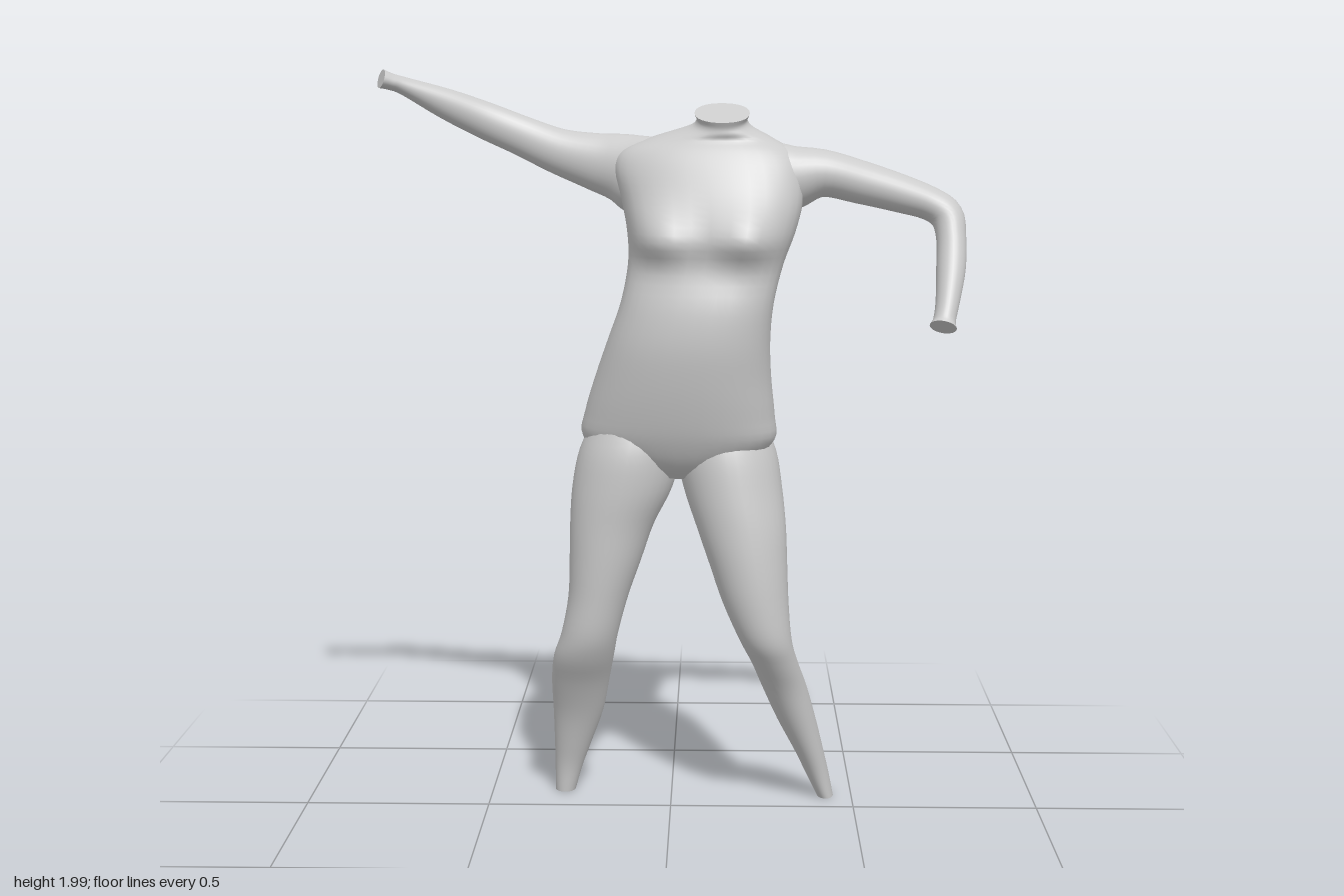
import * as THREE from 'three';

const SIDES = 32;
const UP = new THREE.Vector3(0, 1, 0);
const FRONT = new THREE.Vector3(0, 0, 1);
const material = new THREE.MeshStandardMaterial({ color: 0xcccccc });

// Smooth skin through sections { c: centre, r: (width, depth, tilt) } with flat end caps.
// Sections stay level when `level` is set, otherwise they follow the path.
function loft(name, sections, { level = false, steps = 4, power = 2, shape = null } = {}) {
  const path = new THREE.CatmullRomCurve3(sections.map((s) => s.c));
  const radii = new THREE.CatmullRomCurve3(sections.map((s) => s.r));
  path.curveType = radii.curveType = 'catmullrom';
  const rings = (sections.length - 1) * steps;
  const pos = [], index = [];
  const round = (v) => Math.sign(v) * Math.abs(v) ** (2 / power);
  for (let i = 0; i <= rings; i++) {
    const c = path.getPoint(i / rings), r = radii.getPoint(i / rings);
    const t = level ? UP : path.getTangent(i / rings);
    const u = new THREE.Vector3().crossVectors(FRONT, t).normalize();
    const v = new THREE.Vector3().crossVectors(t, u);
    for (let j = 0; j < SIDES; j++) {
      const a = (j / SIDES) * Math.PI * 2;
      const p = c.clone()
        .addScaledVector(u, round(Math.cos(a)) * r.x)
        .addScaledVector(v, round(Math.sin(a)) * r.y);
      p.y -= r.z * (p.z - c.z);
      if (shape) shape(p, c);
      pos.push(...p.toArray());
    }
  }
  for (let i = 0; i < rings; i++) {
    for (let j = 0; j < SIDES; j++) {
      const k = (j + 1) % SIDES, a = i * SIDES, b = a + SIDES;
      index.push(a + j, a + k, b + j, a + k, b + k, b + j);
    }
  }
  // End caps with their own vertices, so their rims stay sharp
  for (const end of [0, rings]) {
    const start = pos.length / 3, mid = [0, 0, 0];
    for (let j = 0; j < SIDES; j++) {
      for (let k = 0; k < 3; k++) {
        const value = pos[(end * SIDES + j) * 3 + k];
        pos.push(value);
        mid[k] += value / SIDES;
      }
    }
    pos.push(...mid);
    for (let j = 0; j < SIDES; j++) {
      const a = start + j, b = start + ((j + 1) % SIDES);
      index.push(start + SIDES, ...(end ? [a, b] : [b, a]));
    }
  }
  const geometry = new THREE.BufferGeometry();
  geometry.setAttribute('position', new THREE.Float32BufferAttribute(pos, 3));
  geometry.setIndex(index);
  geometry.computeVertexNormals();
  const mesh = new THREE.Mesh(geometry, material);
  mesh.name = name;
  return mesh;
}

// Level section from its extents: height, min x, max x, back z, front z, tilt
const slab = ([y, x0, x1, z0, z1, tilt = 0]) => ({
  c: new THREE.Vector3((x0 + x1) / 2, y, (z0 + z1) / 2),
  r: new THREE.Vector3((x1 - x0) / 2, (z1 - z0) / 2, tilt),
});

// Limb section: centre, half width seen from the front, half depth
const limb = ([x, y, z, w, d]) => ({
  c: new THREE.Vector3(x, y, z),
  r: new THREE.Vector3(w, d, 0),
});

// Soft swellings of the trunk: x, y, height, radius, side (1 front, -1 back)
const swellings = [
  [-0.03, 1.565, 0.06, 0.085, 1], [0.19, 1.565, 0.06, 0.085, 1],
  [-0.1, 1.07, 0.03, 0.1, -1], [0.14, 1.07, 0.03, 0.1, -1],
];

function shapeTrunk(p, c) {
  // Twist that brings the left side forward
  const facing = p.z - c.z;
  p.z += 0.13 * (p.x - c.x);
  for (const [x, y, h, r, side] of swellings) {
    const amount = THREE.MathUtils.smoothstep(facing * side, 0, 0.1);
    const drop = p.y < y ? 1.5 : 1;
    const d2 = (p.x - x) ** 2 + ((p.y - y) * drop) ** 2;
    p.z += side * h * amount * Math.exp(-d2 / (r * r));
  }
}

export function createModel() {
  const group = new THREE.Group();
  group.name = 'headlessFigure';

  // Trunk from crotch to the cut neck
  group.add(loft('torso', [
    [0.93, -0.05, 0.09, -0.08, 0.05],
    [0.97, -0.16, 0.2, -0.14, 0.1],
    [1.03, -0.237, 0.276, -0.175, 0.135],
    [1.1, -0.23, 0.276, -0.185, 0.16],
    [1.2, -0.2, 0.266, -0.175, 0.185],
    [1.3, -0.165, 0.262, -0.135, 0.2],
    [1.4, -0.13, 0.27, -0.1, 0.195],
    [1.5, -0.112, 0.295, -0.115, 0.165],
    [1.58, -0.115, 0.325, -0.135, 0.155],
    [1.66, -0.13, 0.345, -0.15, 0.135],
    [1.74, -0.15, 0.345, -0.155, 0.1],
    [1.79, -0.13, 0.32, -0.145, 0.07],
    [1.825, -0.05, 0.265, -0.12, 0.05, 0.1],
    [1.85, 0.045, 0.215, -0.085, 0.055, 0.25],
    [1.87, 0.067, 0.2, -0.075, 0.055, 0.35],
    [1.888, 0.062, 0.206, -0.08, 0.062, 0.35],
  ].map(slab), { level: true, power: 2.2, shape: shapeTrunk }));

  // Right leg, ankle to hip
  group.add(loft('rightLeg', [
    [0.01, -0.326, -0.27, -0.18, -0.11],
    [0.08, -0.326, -0.25, -0.178, -0.1],
    [0.15, -0.326, -0.225, -0.174, -0.08],
    [0.25, -0.327, -0.19, -0.165, -0.045],
    [0.35, -0.328, -0.17, -0.142, 0.005],
    [0.43, -0.318, -0.155, -0.105, 0.055],
    [0.5, -0.295, -0.142, -0.08, 0.082],
    [0.6, -0.276, -0.115, -0.088, 0.095],
    [0.7, -0.272, -0.08, -0.1, 0.105],
    [0.8, -0.27, -0.045, -0.115, 0.112],
    [0.9, -0.264, 0.005, -0.15, 0.12],
    [1.0, -0.244, 0.025, -0.182, 0.118],
    [1.09, -0.2, 0.015, -0.17, 0.09],
  ].map(slab), { level: true }));

  // Left leg, ankle to hip
  group.add(loft('leftLeg', [
    [0.01, 0.405, 0.45, -0.145, -0.068],
    [0.08, 0.372, 0.436, -0.142, -0.048],
    [0.15, 0.34, 0.42, -0.132, -0.022],
    [0.25, 0.29, 0.396, -0.115, 0.018],
    [0.35, 0.248, 0.369, -0.085, 0.06],
    [0.43, 0.218, 0.343, -0.035, 0.108],
    [0.5, 0.185, 0.325, -0.005, 0.145],
    [0.6, 0.14, 0.316, -0.03, 0.158],
    [0.7, 0.105, 0.312, -0.055, 0.16],
    [0.8, 0.07, 0.308, -0.08, 0.155],
    [0.9, 0.035, 0.298, -0.135, 0.145],
    [1.0, 0.015, 0.281, -0.17, 0.13],
    [1.09, 0.03, 0.24, -0.15, 0.1],
  ].map(slab), { level: true }));

  // Right arm, raised and stretched out to the side
  group.add(loft('rightArm', [
    [0.02, 1.7, -0.06, 0.1, 0.07],
    [-0.06, 1.718, -0.08, 0.11, 0.085],
    [-0.13, 1.742, -0.105, 0.092, 0.072],
    [-0.2, 1.758, -0.118, 0.077, 0.06],
    [-0.3, 1.785, -0.13, 0.061, 0.051],
    [-0.4, 1.826, -0.138, 0.053, 0.043],
    [-0.5, 1.868, -0.132, 0.049, 0.041],
    [-0.6, 1.912, -0.1, 0.04, 0.034],
    [-0.7, 1.956, -0.065, 0.024, 0.03],
    [-0.735, 1.968, -0.052, 0.022, 0.033],
    [-0.76, 1.976, -0.042, 0.025, 0.036],
  ].map(limb)));

  // Left arm, bent at the elbow with the forearm hanging forward
  group.add(loft('leftArm', [
    [0.17, 1.7, -0.02, 0.09, 0.07],
    [0.25, 1.712, -0.015, 0.108, 0.085],
    [0.32, 1.722, -0.012, 0.085, 0.078],
    [0.4, 1.732, -0.012, 0.062, 0.068],
    [0.5, 1.708, -0.017, 0.056, 0.06],
    [0.6, 1.68, -0.02, 0.05, 0.055],
    [0.68, 1.653, -0.02, 0.044, 0.052],
    [0.722, 1.622, -0.008, 0.044, 0.051],
    [0.732, 1.57, 0.022, 0.039, 0.046],
    [0.728, 1.49, 0.072, 0.038, 0.041],
    [0.716, 1.41, 0.122, 0.031, 0.034],
    [0.706, 1.365, 0.15, 0.029, 0.031],
    [0.702, 1.348, 0.161, 0.035, 0.034],
  ].map(limb)));

  return group;
}
